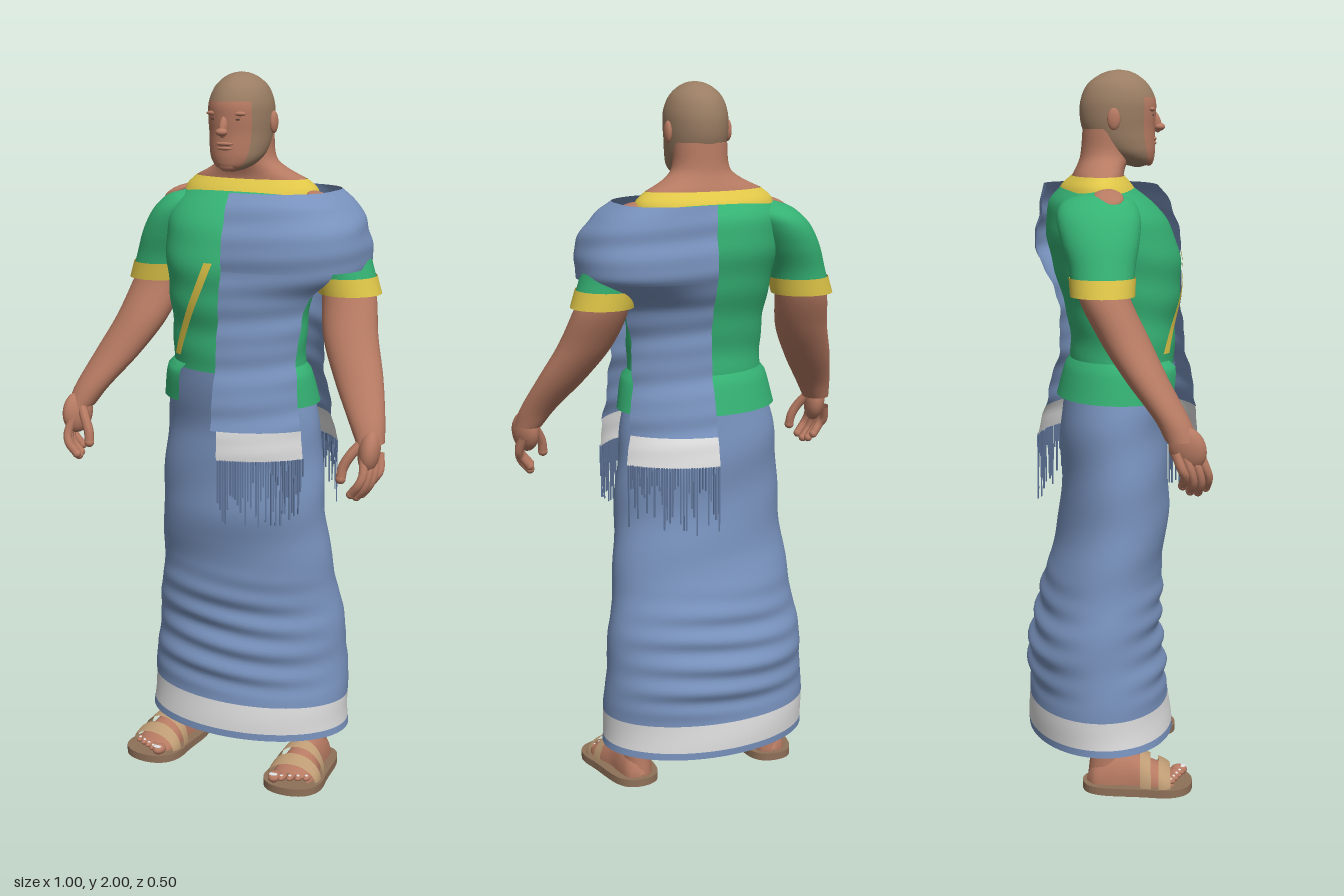
import * as THREE from 'three';
import { mergeVertices, mergeGeometries } from 'three/addons/utils/BufferGeometryUtils.js';

const mat = (name, color) => new THREE.MeshStandardMaterial({ name, color, side: THREE.DoubleSide });
const rad = THREE.MathUtils.degToRad;
const smooth = THREE.MathUtils.smoothstep;

// smooth surface from a rule p(u, v), u and v running 0..1
function grid(nu, nv, p) {
  const pos = [], idx = [];
  for (let j = 0; j <= nv; j++) for (let i = 0; i <= nu; i++) pos.push(...p(i / nu, j / nv));
  for (let j = 0; j < nv; j++) for (let i = 0; i < nu; i++) {
    const a = j * (nu + 1) + i, b = a + 1, c = a + nu + 1, d = c + 1;
    idx.push(a, c, b, b, c, d);
  }
  let g = new THREE.BufferGeometry();
  g.setAttribute('position', new THREE.Float32BufferAttribute(pos, 3));
  g.setIndex(idx);
  g = mergeVertices(g, 1e-5);
  g.computeVertexNormals();
  return g;
}

// rows [t, ...values] in rising t -> smooth interpolation, clamped at the ends
function profile(rows) {
  const slope = (i, k) => {
    const a = rows[Math.max(i - 1, 0)], b = rows[Math.min(i + 1, rows.length - 1)];
    return (b[k] - a[k]) / (b[0] - a[0]);
  };
  return (t) => {
    t = THREE.MathUtils.clamp(t, rows[0][0], rows[rows.length - 1][0]);
    let i = 0;
    while (i < rows.length - 2 && t > rows[i + 1][0]) i++;
    const h = rows[i + 1][0] - rows[i][0], s = (t - rows[i][0]) / h, s2 = s * s, s3 = s2 * s;
    return rows[i].slice(1).map((v, k) => (2 * s3 - 3 * s2 + 1) * v + (s3 - 2 * s2 + s) * h * slope(i, k + 1)
      + (3 * s2 - 2 * s3) * rows[i + 1][k + 1] + (s3 - s2) * h * slope(i + 1, k + 1));
  };
}
// rows [y, halfWidth, zFront, zBack] -> [y, cx, cz, rx, rz]
const body = (rows) => profile(rows.map(([y, rx, f, b]) => [y, 0, (f + b) / 2, rx, (f - b) / 2]));
const none = () => 0;

// part of a body of elliptical sections, between two heights and two angles (90 = front)
function band(prof, y0, y1, { a0 = 0, a1 = 360, nu = 48, nv = 16, side = 1, fold = none } = {}) {
  return grid(nu, nv, (u, v) => {
    const y = y0 + (y1 - y0) * v, a = rad(a0 + (a1 - a0) * u);
    const [cx, cz, rx, rz] = prof(y), f = fold(y, a);
    return [side * cx + (rx + f) * Math.cos(a), y, cz + (rz + f) * Math.sin(a)];
  });
}

export function createModel() {
  const model = new THREE.Group();
  const skin = mat('skin', 0xb67a62), scalp = mat('scalp', 0x9a7d63), green = mat('green cloth', 0x35b274),
    blue = mat('blue cloth', 0x7892bd), yellow = mat('yellow trim', 0xdfc648), white = mat('white', 0xdedede),
    tan = mat('strap', 0xbd9b74), sole = mat('sole', 0x8f7159), fringeBlue = mat('fringe', 0x60769b), dark = mat('dark', 0x5a3f34);
  const add = (name, geo, material, parent = model) => {
    const m = new THREE.Mesh(geo, material);
    m.name = name;
    parent.add(m);
    return m;
  };
  const ball = (name, material, [x, y, z], [sx, sy, sz], parent) => {
    const m = add(name, new THREE.SphereGeometry(1, 20, 14), material, parent);
    m.position.set(x, y, z);
    m.scale.set(sx, sy, sz);
    return m;
  };
  const tube = (pts, r, n = 12) =>
    new THREE.TubeGeometry(new THREE.CatmullRomCurve3(pts.map((p) => new THREE.Vector3(...p))), n, r, 8);

  // long skirt with a white border above the hem
  const skirt = body([[.12, .31, .17, -.245], [.22, .305, .16, -.245], [.4, .295, .14, -.24], [.6, .268, .14, -.19],
    [.7, .257, .15, -.165], [.8, .25, .16, -.15], [1, .235, .15, -.15], [1.1, .216, .163, -.14], [1.195, .192, .174, -.112]]);
  const skirtFold = (y, a) => {
    const low = smooth(y, .22, .3) * (1 - smooth(y, .45, .65)) * Math.sin(a) ** 2;
    return .007 * low * Math.sin(y * 85 + Math.sin(a * 2)) + .0025 * Math.sin(y * 31 + 2 * a);
  };
  const sk = { nu: 72, fold: skirtFold };
  add('skirtHem', band(skirt, .12, .14, { ...sk, nv: 2 }), blue);
  add('skirtBorder', band(skirt, .14, .22, { ...sk, nv: 5 }), white);
  add('skirtLining', band(skirt, .125, .22, { ...sk, nv: 5, fold: (y, a) => skirtFold(y, a) - .005 }), blue);
  add('skirt', band(skirt, .22, 1.195, { ...sk, nv: 110 }), blue);

  // blouse body, flared waist, collar
  const blouse = body([[1.18, .197, .172, -.12], [1.3, .197, .175, -.125], [1.4, .208, .188, -.15], [1.5, .225, .185, -.178],
    [1.58, .235, .155, -.188], [1.64, .222, .11, -.18], [1.685, .193, .05, -.143]]);
  add('blouse', band(blouse, 1.188, 1.685, { nv: 50, fold: (y, a) => .002 * Math.sin(y * 55 + 2 * Math.sin(a)) }), green);
  const flare = body([[1.1, .232, .185, -.16], [1.19, .212, .19, -.135], [1.21, .195, .165, -.12]]);
  add('blouseFlare', band(flare, 1.1, 1.21, { a0: 122, a1: 418, nv: 6 }), green);
  const collar = body([[1.672, .205, .062, -.152], [1.69, .197, .05, -.142], [1.713, .17, .03, -.116]]);
  add('collar', band(collar, 1.672, 1.713, { nv: 6 }), yellow);

  // slanted trim on the chest
  add('chestTrim', grid(2, 24, (u, v) => {
    const y = 1.23 + .27 * v, x = -.135 + .125 * v + .018 * Math.sin(v * 3.1) * (v - .5) + .026 * (u - .5);
    const [, cz, rx, rz] = blouse(y);
    return [x, y, cz + rz * Math.sqrt(1 - (x / rx) ** 2) + .006];
  }), yellow);

  // shawl over the left shoulder, hanging in front and behind, fuller around the arm
  const shawl = body([[.97, .285, .25, -.215], [1.1, .265, .235, -.185], [1.25, .25, .205, -.15], [1.4, .28, .195, -.165],
    [1.47, .345, .195, -.205], [1.53, .36, .192, -.213], [1.59, .345, .182, -.205], [1.65, .305, .155, -.193], [1.685, .255, .125, -.183]]);
  const shawlFold = (y, a) => .003 * Math.sin(y * 48 + 3 * Math.sin(a)) + .0015 * Math.sin(y * 95 + 2 * a)
    + (a < 0 ? .036 : .014) * smooth(y, 1.4, 1.5) * Math.sin(2 * a) ** 2;
  add('shawlShoulder', band(shawl, 1.48, 1.685, { a0: -85, a1: 85, nv: 30, fold: shawlFold }), blue);
  let seed = 7;
  const rnd = () => (seed = (seed * 16807) % 2147483647) / 2147483647;
  for (const [where, a0, a1, b0, b1] of [['front', 28, 85, 28, 81], ['back', -85, -28, -85, -28]]) {
    add(where + 'ShawlPanel', band(shawl, 1.05, 1.48, { a0, a1, nu: 20, nv: 40, fold: shawlFold }), blue);
    add(where + 'ShawlBorder', band(shawl, .97, 1.05, { a0: b0, a1: b1, nu: 20, nv: 6, fold: shawlFold }), white);
    const strands = [], [, cz, rx, rz] = shawl(.97);
    for (let i = 0; i < 36; i++) {
      const a = rad(b0 + (b1 - b0) * (i + .5) / 36), len = .05 + .145 * rnd();
      strands.push(new THREE.BoxGeometry(.0045, len, .003).rotateY(Math.PI / 2 - a)
        .translate(rx * Math.cos(a), .972 - len / 2, cz + rz * Math.sin(a) - .004 * rnd()));
    }
    add(where + 'Fringe', mergeGeometries(strands), fringeBlue);
  }

  // neck and head
  const neck = body([[1.66, .18, .035, -.125], [1.712, .168, .028, -.114], [1.735, .122, .033, -.103], [1.765, .084, .045, -.092],
    [1.84, .076, .05, -.085]]);
  add('neck', band(neck, 1.66, 1.84), skin);
  const skull = body([[1.735, .004, .075, .06], [1.745, .04, .106, .02], [1.77, .068, .115, -.03], [1.8, .079, .116, -.066],
    [1.84, .084, .115, -.086], [1.88, .087, .118, -.093], [1.92, .085, .117, -.09], [1.96, .07, .097, -.072],
    [1.985, .045, .068, -.04], [1.997, .02, .04, -.01], [2, .001, .016, .014]]);
  add('scalp', band(skull, 1.925, 2, { nv: 22 }), scalp);
  add('headSides', band(skull, 1.735, 1.925, { a0: 140, a1: 400, nv: 26 }), scalp);
  add('face', band(skull, 1.735, 1.925, { a0: 40, a1: 140, nv: 26, nu: 24 }), skin);
  const nose = ball('nose', skin, [0, 1.86, .116], [.012, .032, .016]);
  nose.rotation.x = -.35;
  ball('noseTip', skin, [0, 1.845, .128], [.017, .011, .016]);
  ball('chin', skin, [0, 1.756, .098], [.028, .018, .014]);
  ball('upperLip', skin, [0, 1.813, .111], [.026, .006, .009]);
  ball('lowerLip', skin, [0, 1.801, .111], [.023, .006, .009]);
  ball('mouthLine', dark, [0, 1.807, .114], [.022, .001, .004]);

  for (const s of [1, -1]) {
    const side = s > 0 ? 'left' : 'right';
    const pt = ([x, y, z]) => [s * x, y, z];
    ball(side + 'Ear', skin, pt([.089, 1.867, -.005]), [.01, .03, .018]);
    ball(side + 'Brow', skin, pt([.034, 1.893, .102]), [.026, .007, .01]);
    ball(side + 'Eye', dark, pt([.033, 1.878, .106]), [.011, .003, .004]);

    // sleeve, cuff and bare shoulder patch
    const sleeve = profile([[1.41, .303, -.05, .084, .082], [1.48, .282, -.05, .082, .088], [1.55, .252, -.053, .088, .105],
      [1.61, .22, -.055, .086, .112], [1.645, .196, -.055, .075, .1], [1.665, .19, -.05, .05, .07], [1.68, .185, -.05, .002, .002]]);
    add(side + 'Sleeve', band(sleeve, 1.455, 1.68, { side: s, nv: 28 }), green);
    add(side + 'Cuff', band(sleeve, 1.41, 1.458, { side: s, nv: 4, fold: () => .004 }), yellow);
    const patch = ball(side + 'ShoulderPatch', skin, pt([.224, 1.661, -.03]), [.046, .015, .042]);
    patch.rotation.z = -s * .45;

    // arm
    const arm = profile([[1.05, .458, .145, .038, .042], [1.1, .437, .123, .05, .046], [1.2, .382, .06, .069, .058],
      [1.3, .332, .005, .077, .067], [1.42, .298, -.05, .075, .068], [1.5, .27, -.05, .06, .06]]);
    add(side + 'Arm', band(arm, 1.05, 1.5, { side: s, nv: 30, nu: 28 }), skin);

    // hand with curled fingers and thumb
    const hand = new THREE.Group();
    hand.name = side + 'Hand';
    model.add(hand);
    const palm = ball('palm', skin, pt([.462, 1.03, .16]), [.03, .06, .05], hand);
    palm.rotation.set(-.35, s * .35, 0);
    for (let i = 0; i < 4; i++) {
      const x = .458 + .007 * i, z = .2 - .021 * i, drop = [.01, 0, .004, .02][i];
      const end = pt([x - .024, .91 + drop, z + .012]);
      add('finger', tube([pt([x, 1.02, z - .01]), pt([x + .008, .975, z + .008]), pt([x, .94 + drop, z + .016]), end], .0125), skin, hand);
      ball('fingertip', skin, end, [.0125, .0125, .0125], hand);
    }
    add('thumb', tube([pt([.45, 1.06, .16]), pt([.42, 1.02, .185]), pt([.402, .985, .195]), pt([.398, .955, .2])], .014), skin, hand);
    ball('thumbTip', skin, pt([.398, .955, .2]), [.014, .014, .014], hand);

    // lower leg, foot and sandal, turned slightly outwards
    const leg = profile([[.03, .21, -.035, .042, .052], [.1, .21, -.035, .04, .046], [.2, .205, -.04, .044, .05], [.4, .19, -.04, .06, .065]]);
    add(side + 'Leg', band(leg, .03, .4, { side: s, nu: 24 }), skin);
    const foot = new THREE.Group();
    foot.name = side + 'Foot';
    foot.position.set(s * .22, 0, 0);
    foot.rotation.y = s * .08;
    model.add(foot);
    const outline = new THREE.Shape();
    outline.moveTo(0, -.102);
    outline.bezierCurveTo(.09, -.1, .065, .0, .084, .1);
    outline.bezierCurveTo(.098, .18, .05, .208, 0, .208);
    outline.bezierCurveTo(-.05, .208, -.098, .18, -.084, .1);
    outline.bezierCurveTo(-.065, .0, -.09, -.1, 0, -.102);
    add('sandalSole', new THREE.ExtrudeGeometry(outline, { depth: .022, bevelEnabled: false, curveSegments: 16 })
      .rotateX(Math.PI / 2).translate(0, .022, 0), sole, foot);
    const footShape = profile([[-.09, .005, .01], [-.075, .035, .05], [-.03, .045, .085], [.03, .047, .085], [.08, .058, .066],
      [.13, .063, .042], [.155, .052, .024]]);
    const dome = (z0, z1, grow, nv) => grid(20, nv, (u, v) => {
      const z = z1 + (z0 - z1) * v, [w, h] = footShape(z), a = Math.PI * u;
      return [(w + grow) * Math.cos(a), .02 + (h + grow) * Math.sin(a), z];
    });
    add('footBody', dome(-.09, .155, 0, 20), skin, foot);
    add('toeStrap', dome(.112, .145, .015, 3), tan, foot);
    add('instepStrap', dome(.06, .09, .015, 3), tan, foot);
    for (let i = 0; i < 5; i++) {
      const x = -s * (.042 - .022 * i), z = .172 - .009 * i, r = i ? .011 : .018;
      ball('toe', skin, [x, .034, z], [r, r * .85, .024], foot);
      ball('toenail', white, [x, .034 + r * .65, z + .01], [r * (i ? .45 : .7), .003, i ? .005 : .01], foot);
    }
  }
  return model;
}
